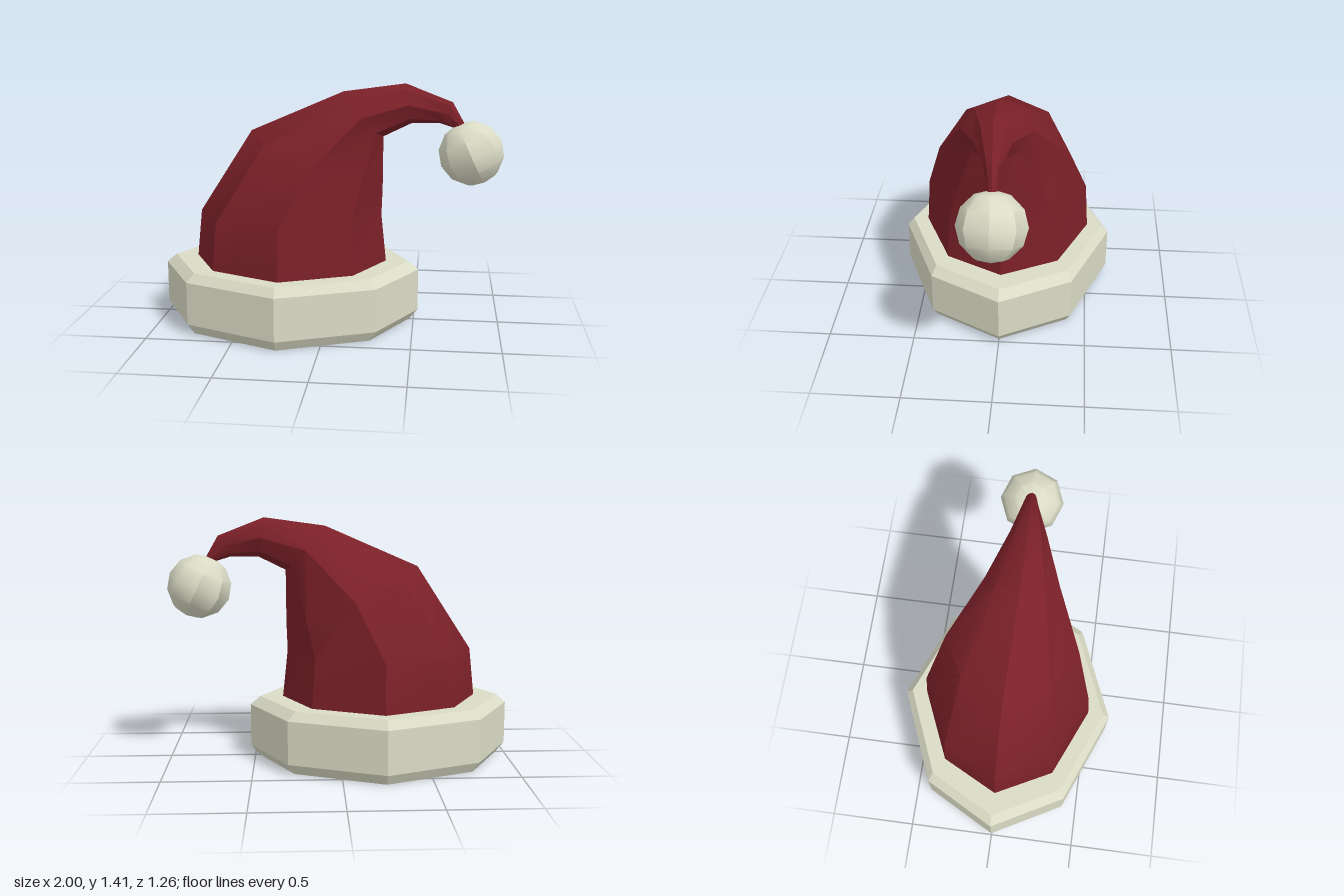
import * as THREE from 'three';
import { toCreasedNormals } from 'three/addons/utils/BufferGeometryUtils.js';

const SIDES = 8;
const CX = -0.238;
const red = new THREE.MeshStandardMaterial({ color: 0x7a2028 });
const cream = new THREE.MeshStandardMaterial({ color: 0xdadbc5 });

// Eight-sided ring: centre, in-plane radius vector (ux, uy) and depth radius rz
function ring([cx, cy, cz, ux, uy, rz]) {
  const pts = [];
  for (let i = 0; i < SIDES; i++) {
    const a = (i / SIDES) * Math.PI * 2;
    const c = Math.cos(a);
    const s = Math.sin(a) * (i % 2 ? 0.92 : 1);
    pts.push([cx + ux * c, cy + uy * c, cz + rz * s]);
  }
  return pts;
}

// Skin a series of rings, with sharp edges above the crease angle
function loft(specs, crease) {
  const rings = specs.map(ring);
  const pos = [];
  for (let i = 0; i < rings.length - 1; i++) {
    for (let j = 0; j < SIDES; j++) {
      const k = (j + 1) % SIDES;
      const a = rings[i][j], b = rings[i + 1][j], c = rings[i + 1][k], d = rings[i][k];
      pos.push(...a, ...b, ...d, ...b, ...c, ...d);
    }
  }
  const geo = new THREE.BufferGeometry();
  geo.setAttribute('position', new THREE.Float32BufferAttribute(pos, 3));
  return toCreasedNormals(geo, crease);
}

function addMesh(group, name, geo, material) {
  const mesh = new THREE.Mesh(geo, material);
  mesh.name = name;
  group.add(mesh);
  return mesh;
}

export function createModel() {
  const group = new THREE.Group();
  group.name = 'floppyHat';

  // Drooping cone, from the brim to the tip
  const cone = [
    [CX, 0.34, 0, 0.572, 0, 0.502],
    [CX, 0.64, 0, 0.54, 0, 0.482],
    [-0.077, 0.965, 0.008, 0.385, -0.165, 0.38],
    [0.195, 1.238, 0.028, 0.115, -0.128, 0.205],
    [0.452, 1.302, 0.028, 0.018, -0.113, 0.103],
    [0.665, 1.25, 0.014, -0.036, -0.06, 0.042],
    [0.752, 1.17, 0.01, -0.022, -0.012, 0.026],
    [0.78, 1.1, 0.01, -0.02, -0.01, 0.02],
  ];
  addMesh(group, 'cone', loft(cone, 0.6), red);

  // Inner lining, facing inward, from deep in the cone to the opening
  const lining = cone.slice(0, 6).reverse().map(
    ([x, y, z, ux, uy, rz]) => [x, y, z, ux * 0.97, uy * 0.97, rz * 0.97]);
  lining.push([CX, 0, 0, 0.59, 0, 0.49]);
  addMesh(group, 'lining', loft(lining, 0.6), cream);

  // Bevelled brim band
  const brim = [
    [CX, 0, 0, 0.59, 0, 0.49],
    [CX, 0, 0, 0.712, 0, 0.597],
    [CX, 0.06, 0, 0.763, 0, 0.632],
    [CX, 0.31, 0, 0.763, 0, 0.632],
    [CX, 0.36, 0, 0.705, 0, 0.592],
    [CX, 0.36, 0, 0.56, 0, 0.49],
  ];
  addMesh(group, 'brim', loft(brim, 0.4), cream);

  // Pompom, its poles in line with the tip
  const ball = toCreasedNormals(new THREE.SphereGeometry(0.187, 8, 6), 0.6);
  const pompom = addMesh(group, 'pompom', ball, cream);
  pompom.position.set(0.813, 1.017, 0.008);
  pompom.rotation.z = 0.44;

  return group;
}
